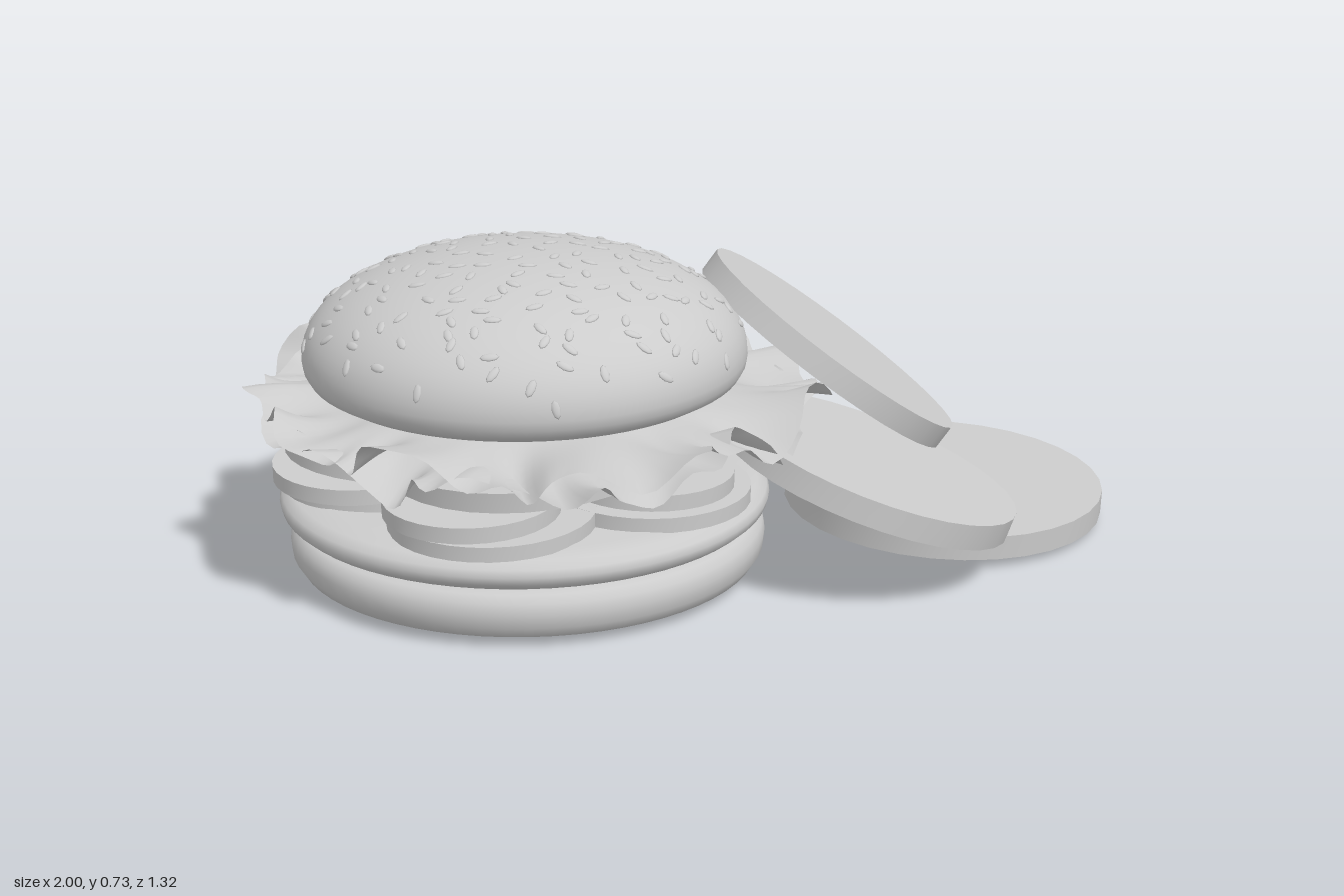
import * as THREE from 'three';
import { mergeGeometries, toCreasedNormals } from 'three/addons/utils/BufferGeometryUtils.js';

const CX = -0.38, CZ = -0.06; // vertical axis of the burger
const UP = new THREE.Vector3(0, 1, 0);

export function createModel() {
  const model = new THREE.Group();
  const grey = new THREE.MeshStandardMaterial({ color: 0xcccccc });
  const leafGrey = new THREE.MeshStandardMaterial({ color: 0xcccccc, side: THREE.DoubleSide });

  let state = 7;
  const random = () => {
    state = (state * 16807) % 2147483647;
    return state / 2147483647;
  };

  function add(name, geometry, material = grey) {
    const mesh = new THREE.Mesh(geometry, material);
    mesh.name = name;
    model.add(mesh);
    return mesh;
  }

  // Round part turned on an upright axis from [radius, y] pairs, bottom to top
  function turned(name, pairs, z = CZ) {
    const points = pairs.map(([r, y]) => new THREE.Vector2(r, y));
    const geometry = toCreasedNormals(new THREE.LatheGeometry(points, 64), 0.7);
    add(name, geometry).position.set(CX, 0, z);
  }

  // Flat round slice, facing along a normal
  function slice(name, radius, thickness, center, normal) {
    const geometry = toCreasedNormals(new THREE.CylinderGeometry(radius, radius, thickness, 32), 0.6);
    const mesh = add(name, geometry);
    mesh.position.set(...center);
    mesh.quaternion.setFromUnitVectors(UP, new THREE.Vector3(...normal).normalize());
  }

  turned('bottomBun', [[0, 0.002], [0.42, 0.006], [0.49, 0.012], [0.522, 0.025], [0.538, 0.05],
    [0.541, 0.08], [0.536, 0.105], [0.52, 0.12], [0.48, 0.128], [0, 0.129]]);
  turned('patty', [[0, 0.128], [0.5, 0.128], [0.535, 0.135], [0.553, 0.15], [0.558, 0.168],
    [0.552, 0.184], [0.53, 0.198], [0.48, 0.206], [0, 0.207]], -0.075);

  // Top bun: domed crown with a rounded lower edge
  const crown = (a) => [0.5 * Math.cos(a) ** 0.95, 0.5 + 0.232 * Math.sin(a) ** 0.95];
  const bunProfile = [[0, 0.438], [0.4, 0.438], [0.455, 0.443], [0.485, 0.46], [0.497, 0.48]];
  for (let i = 0; i < 18; i++) bunProfile.push(crown((i / 18) * Math.PI / 2));
  bunProfile.push([0, 0.732]);
  turned('topBun', bunProfile);

  // Sesame seeds spread over the crown, half sunk into it
  const seeds = [];
  const seedCount = 185;
  for (let i = 0; i < seedCount; i++) {
    const around = i * 2.39996 + (random() - 0.5) * 0.3;
    const r = 0.498 * ((i + 0.2 + random() * 0.7) / seedCount) ** 0.47;
    const a = Math.acos(Math.min(1, (r / 0.5) ** (1 / 0.95)));
    const y = crown(a)[1];
    const normal = new THREE.Vector3(Math.cos(around) * r / 0.25, (y - 0.5) / 0.0538,
      Math.sin(around) * r / 0.25).normalize();
    const turn = new THREE.Quaternion().setFromUnitVectors(UP, normal)
      .multiply(new THREE.Quaternion().setFromAxisAngle(UP, random() * Math.PI * 2));
    const place = new THREE.Matrix4().compose(
      new THREE.Vector3(CX + Math.cos(around) * r, y, CZ + Math.sin(around) * r),
      turn, new THREE.Vector3(0.021, 0.005, 0.01));
    seeds.push(new THREE.SphereGeometry(1, 8, 6).applyMatrix4(place));
  }
  add('sesameSeeds', mergeGeometries(seeds));

  // Lettuce: round leaf with an uneven outline, broad folds and a frilled rim
  const outline = [0.63, 0.67, 0.67, 0.62, 0.68, 0.64, 0.62, 0.61, 0.6, 0.61, 0.63, 0.59, 0.58, 0.61, 0.64, 0.61];
  function outlineAt(a) {
    const f = (a / (2 * Math.PI)) * outline.length;
    const i = Math.floor(f);
    const s = THREE.MathUtils.smoothstep(f - i, 0, 1);
    return THREE.MathUtils.lerp(outline[i % outline.length], outline[(i + 1) % outline.length], s);
  }
  function lettuce(name, baseY, scale, phase, droop) {
    const geometry = new THREE.PlaneGeometry(1, 1, 180, 20);
    const pos = geometry.attributes.position;
    for (let i = 0; i < pos.count; i++) {
      const a = ((pos.getX(i) + 0.5) % 1) * Math.PI * 2;
      const t = pos.getY(i) + 0.5;
      const edge = Math.max(0, (t - 0.6) / 0.4);
      const rim = edge * edge;
      const folds = 0.55 * Math.sin(7 * a + phase + 3 * t) + 0.45 * Math.sin(11 * a - 2 * phase - 5 * t);
      const frill = Math.sin(19 * a + phase * 3 + 4 * t) + 0.5 * Math.sin(31 * a - phase);
      const r = t * outlineAt(a) * scale
        + 0.016 * rim * (Math.sin(13 * a + phase) + 0.6 * Math.sin(24 * a - phase));
      const twist = a + 0.05 * edge * Math.sin(9 * a + phase + 4 * t);
      // The leaf sags past the bun, then its rim curls back up
      const sag = droop * (1.9 * rim - 2.9 * edge);
      pos.setXYZ(i, CX + r * Math.cos(twist),
        baseY + sag + 0.045 * edge * folds + 0.018 * rim * frill,
        CZ + r * Math.sin(twist));
    }
    geometry.computeVertexNormals();
    add(name, geometry, leafGrey);
  }
  lettuce('upperLettuce', 0.434, 1, 0.6, 0.018);
  lettuce('lowerLettuce', 0.4, 0.96, 2.9, 0.022);

  // Two layers of small slices above the patty
  for (let i = 0; i < 5; i++) {
    const a = -Math.PI / 2 + (i * Math.PI * 2) / 5;
    slice('pickleSlice', 0.23, 0.034, [CX + 0.32 * Math.cos(a), 0.222, CZ - 0.02 + 0.33 * Math.sin(a)],
      [0.02 * Math.cos(a), 1, 0.02 * Math.sin(a)]);
  }
  const upperSlices = [[-0.62, 0.2], [-0.2, 0.2], [-0.76, -0.12], [-0.16, -0.18], [-0.45, -0.35]];
  upperSlices.forEach(([x, z], i) =>
    slice('onionSlice', 0.195, 0.036, [x, 0.265, z], [i % 2 ? 0.03 : -0.02, 1, 0.02]));

  // Three tilted tomato slices under the lettuce
  slice('tomatoSlice', 0.32, 0.045, [-0.45, 0.335, 0.1], [-0.07, 1, 0.02]);
  slice('tomatoSlice', 0.28, 0.045, [-0.64, 0.318, -0.12], [0.03, 1, -0.02]);
  slice('tomatoSlice', 0.29, 0.045, [-0.36, 0.318, -0.35], [-0.02, 1, -0.08]);

  // Three loose thick slices leaning against the side
  slice('looseSliceFlat', 0.377, 0.055, [0.622, 0.064, 0.102], [0.027, 1, 0.04]);
  slice('looseSliceMiddle', 0.347, 0.06, [0.302, 0.232, 0.31], [0.35, 1, 0.12]);
  slice('looseSliceTop', 0.343, 0.058, [0.345, 0.432, 0.028], [0.575, 0.8, 0.17]);

  return model;
}
